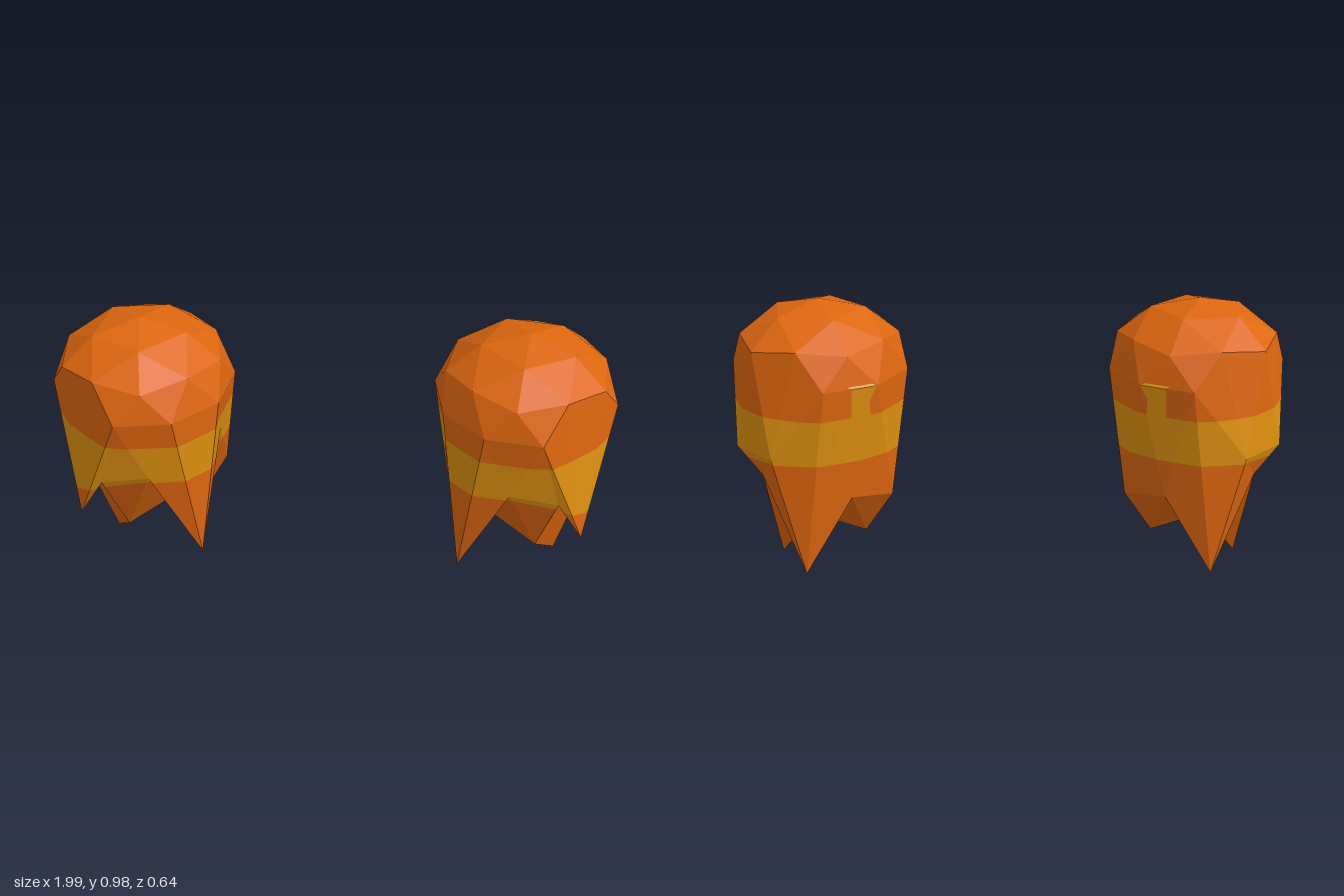
import * as THREE from 'three';

const orange = new THREE.MeshStandardMaterial({ color: 0xdd6610, flatShading: true });
orange.name = 'burntOrange';
const amber = new THREE.MeshStandardMaterial({ color: 0xde9010, flatShading: true });
amber.name = 'amber';

const RADIUS = 0.323, CENTRE_X = 0.677, BAND_TOP = 0.622;

// Lower edge of the painted band: it dips on the outer front side
function bandBottom(deg) {
  const c = Math.max(0, Math.cos(THREE.MathUtils.degToRad(deg - 25)));
  return 0.455 - 0.1 * c ** 3;
}

// A vertex: unit sphere place (for facing), real place, and band edge in w
function vertex(deg, r, sphereY, y) {
  const a = THREE.MathUtils.degToRad(deg);
  const x = Math.cos(a) * r, z = Math.sin(a) * r;
  return {
    unit: new THREE.Vector3(x, sphereY, z),
    p: new THREE.Vector4(x * RADIUS, y, z * RADIUS, r > 0 ? bandBottom(deg) : 0.455),
  };
}
const ring = (start, r, sphereY, heights) =>
  heights.map((y, k) => vertex(start + (360 / heights.length) * k, r, sphereY, y));

// Rings of a faceted dome whose lower points are pulled down into ragged spikes
const top = vertex(0, 0, 1, 0.975);
const crown = ring(27, 0.526, 0.851, Array(5).fill(0.938));
const shoulder = ring(27, 0.894, 0.447, Array(5).fill(0.84));
const shoulderMid = ring(63, 0.851, 0.526, Array(5).fill(0.859));
const rim = ring(9, 1, 0, [0.73, 0.27, 0.73, 0.73, 0.73, 0.73, 0.73, 0.73, 0.475, 0.475]);
const notch = ring(27, 0.851, -0.526, [0.5, 0.475, 0.55, 0.315, 0.38]);
const spike = ring(63, 0.894, -0.447, [0.435, 0.09, 0.28, 0.035, 0.615]);
const innerSpike = ring(63, 0.526, -0.851, [0.16, 0.3, 0.11, 0.215, 0]);
const base = vertex(0, 0, -1, 0.17);

// All triangles, turned to face outward
function shellFaces() {
  const faces = [];
  const add = (a, b, c) => {
    const n = b.unit.clone().sub(a.unit).cross(c.unit.clone().sub(a.unit));
    faces.push((n.dot(a.unit.clone().add(b.unit).add(c.unit)) > 0 ? [a, b, c] : [a, c, b]).map((v) => v.p));
  };
  for (let k = 0; k < 5; k++) {
    const n = (k + 1) % 5;
    const e0 = rim[2 * k], e1 = rim[2 * k + 1], e2 = rim[(2 * k + 2) % 10];
    // dome
    add(top, crown[k], crown[n]);
    add(crown[k], shoulder[k], shoulderMid[k]);
    add(crown[k], shoulderMid[k], crown[n]);
    add(crown[n], shoulderMid[k], shoulder[n]);
    add(shoulder[k], e0, e1);
    add(shoulder[k], e1, shoulderMid[k]);
    add(shoulderMid[k], e1, e2);
    add(shoulderMid[k], e2, shoulder[n]);
    // ragged skirt
    add(e0, notch[k], e1);
    add(e1, notch[k], spike[k]);
    add(e1, spike[k], e2);
    add(e2, spike[k], notch[n]);
    add(spike[k], notch[k], innerSpike[k]);
    add(spike[k], innerSpike[k], notch[n]);
    add(notch[n], innerSpike[k], innerSpike[n]);
    add(base, innerSpike[k], innerSpike[n]);
  }
  return faces;
}

// Keep the part of a polygon where field(point) >= 0
function clip(poly, field) {
  const out = [];
  poly.forEach((a, i) => {
    const b = poly[(i + 1) % poly.length], fa = field(a), fb = field(b);
    if (fa >= 0) out.push(a);
    if (fa * fb < 0) out.push(a.clone().lerp(b, fa / (fa - fb)));
  });
  return out;
}

// Flat polygons to a mesh, mirrored when side is -1
function polygonMesh(name, polys, material, side) {
  const pos = [];
  for (const poly of polys) {
    for (let i = 1; i + 1 < poly.length; i++) {
      const tri = side > 0 ? [poly[0], poly[i], poly[i + 1]] : [poly[0], poly[i + 1], poly[i]];
      tri.forEach((v) => pos.push(side * (v.x + CENTRE_X), v.y, v.z));
    }
  }
  const g = new THREE.BufferGeometry();
  g.setAttribute('position', new THREE.Float32BufferAttribute(pos, 3));
  g.computeVertexNormals();
  const mesh = new THREE.Mesh(g, material);
  mesh.name = name;
  return mesh;
}

// Small painted knob rising from the band at the back
function knobPolys() {
  const a = rim[6].p, b = rim[7].p;
  const place = (tip, pts) => pts.map(([u, v]) => {
    const p = a.clone().lerp(b, u).lerp(tip, v);
    const s = 1 + 0.004 / Math.hypot(p.x, p.z);
    p.x *= s;
    p.z *= s;
    return p;
  });
  return [
    place(shoulderMid[3].p, [[0.03, 0], [0.03, 0.25], [0.15, 0.4], [0.38, 0.38], [0.5, 0.2], [0.5, 0]]),
    place(notch[3].p, [[0.5, 0], [0.42, 0.12], [0.5, 0.27], [0.02, 0.27], [0.12, 0.12], [0.03, 0]]),
  ];
}

// Orient a patch so it faces away from the vertical axis
function outward(poly) {
  const v = poly.map((p) => new THREE.Vector3(p.x, p.y, p.z));
  const n = v[1].clone().sub(v[0]).cross(v[3].clone().sub(v[0]));
  return n.x * v[0].x + n.z * v[0].z > 0 ? poly : poly.slice().reverse();
}

export function createModel() {
  const model = new THREE.Group();
  model.name = 'raggedDomePair';
  const faces = shellFaces();
  const cut = (polys, field) => polys.map((p) => clip(p, field)).filter((p) => p.length > 2);

  // Split the shell by height into dome, painted band and spikes
  const dome = cut(faces, (v) => v.y - BAND_TOP);
  const below = cut(faces, (v) => BAND_TOP - v.y);
  const band = cut(below, (v) => v.y - v.w);
  const spikes = cut(below, (v) => v.w - v.y);
  const knob = knobPolys().map(outward);

  for (const side of [1, -1]) {
    const shell = new THREE.Group();
    shell.name = side > 0 ? 'leftShell' : 'rightShell';
    shell.add(
      polygonMesh('dome', dome, orange, side),
      polygonMesh('paintedBand', band, amber, side),
      polygonMesh('raggedSpikes', spikes, orange, side),
      polygonMesh('bandKnob', knob, amber, side),
    );
    model.add(shell);
  }
  return model;
}
